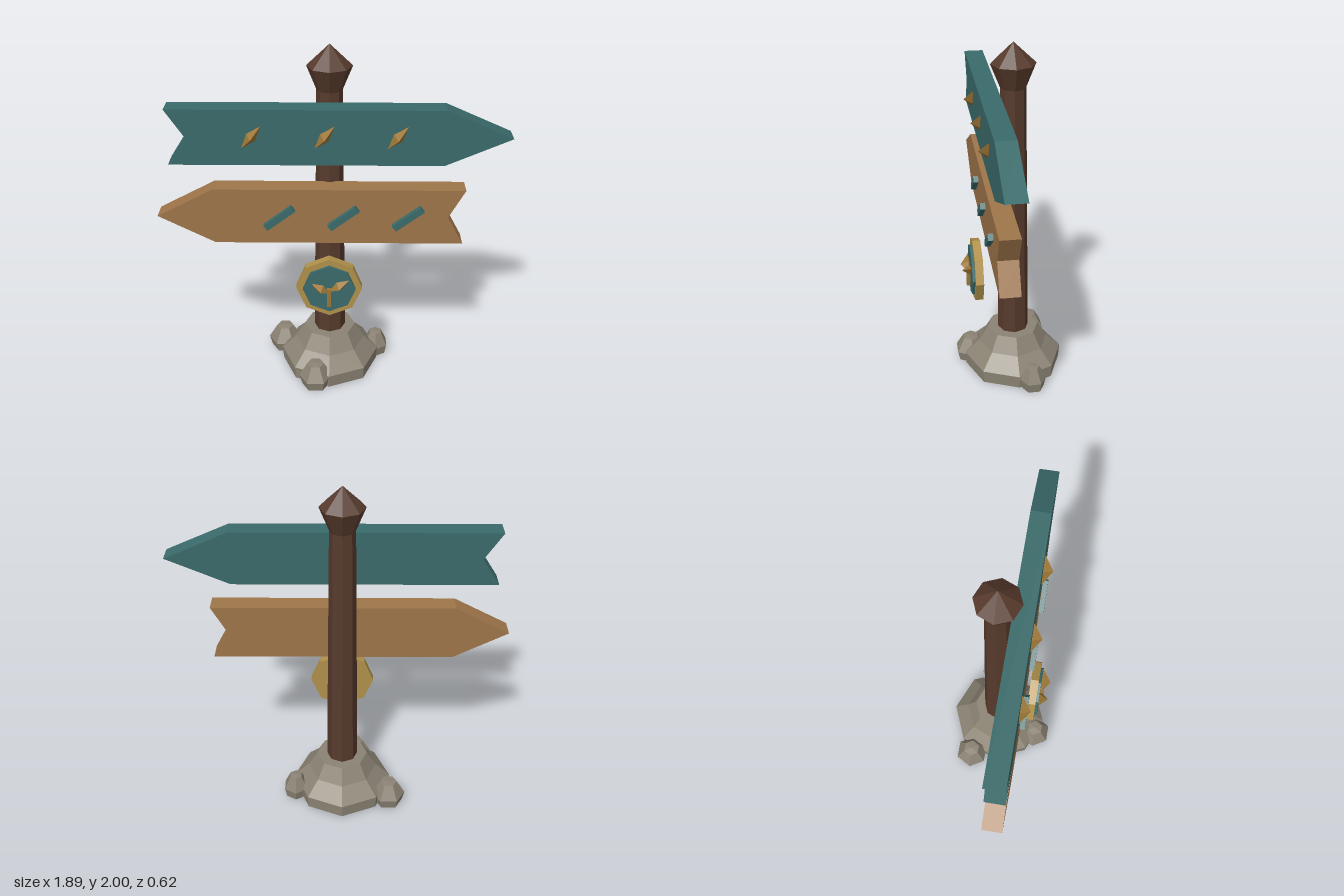
import * as THREE from 'three';

const mat = (name, color) => {
  const m = new THREE.MeshStandardMaterial({ color, flatShading: true });
  m.name = name;
  return m;
};

export function createModel() {
  const model = new THREE.Group();
  model.name = 'signpost';
  const darkWood = mat('dark wood', 0x573a2c);
  const teal = mat('teal paint', 0x3a6a6a);
  const wood = mat('light wood', 0x9e754a);
  const gold = mat('gold', 0xb0904a);
  const bronze = mat('bronze', 0x9c7636);
  const stone = mat('stone', 0x8b8374);
  const CX = -0.013, CZ = -0.022;

  const add = (name, geometry, material, x = 0, y = 0, z = 0) => {
    const mesh = new THREE.Mesh(geometry, material);
    mesh.name = name;
    mesh.position.set(x, y, z);
    model.add(mesh);
    return mesh;
  };
  // faceted turned solid from [radius, height] pairs, bottom to top
  const turned = (profile, sides) =>
    new THREE.LatheGeometry(profile.map(([r, y]) => new THREE.Vector2(r, y)), sides);
  // flat outline given thickness along z
  const plate = (points, depth) =>
    new THREE.ExtrudeGeometry(new THREE.Shape(points.map(([x, y]) => new THREE.Vector2(x, y))),
      { depth, bevelEnabled: false });
  // stretched diamond whose long axis leans by the given angle
  const diamond = (name, x, y, z, size, angle) => {
    const mesh = add(name, new THREE.OctahedronGeometry(1), bronze, x, y, z);
    mesh.scale.set(...size);
    mesh.rotation.z = angle;
  };

  // post with flared, pointed cap
  add('post', turned([[0, 0.2], [0.092, 0.2], [0.07, 1.755], [0.122, 1.885], [0, 2]], 8), darkWood, CX, 0, CZ);

  // stone mound and the pebbles around it
  add('stoneBase', turned([[0, 0], [0.285, 0], [0.29, 0.078], [0.205, 0.165], [0.15, 0.26], [0, 0.26]], 8),
    stone, CX, 0, CZ);
  const pebbles = [[-0.293, -0.157, 0.1, Math.PI / 6], [0.268, -0.1, 0.078, 0], [-0.093, 0.226, 0.098, Math.PI / 6]];
  for (const [x, z, r, turn] of pebbles) {
    const pebble = add('pebble',
      turned([[0, 0], [r * 0.85, 0], [r, 0.06], [r * 0.5, 0.145], [0, 0.15]], 6), stone, x, 0, z);
    pebble.rotation.y = turn;
  }

  // upper arrow board, pointing to +x, with diamond studs
  add('upperBoard', plate([[-0.863, 1.396], [0.594, 1.396], [0.944, 1.551], [0.594, 1.706],
    [-0.863, 1.706], [-0.763, 1.551]], 0.11), teal, 0, 0, 0.045);
  for (const x of [-0.42, -0.037, 0.345]) {
    diamond('diamondStud', x, 1.555, 0.157, [0.03, 0.082, 0.05], -0.7);
  }

  // lower arrow board, pointing to -x, with slanted bars
  add('lowerBoard', plate([[-0.949, 1.085], [-0.641, 0.922], [0.72, 0.922], [0.632, 1.085],
    [0.72, 1.248], [-0.641, 1.248]], 0.11), wood, 0, 0, 0.041);
  for (const x of [-0.285, 0.063, 0.414]) {
    add('slantedBar', new THREE.BoxGeometry(0.19, 0.037, 0.04), teal, x, 1.085, 0.16).rotation.z = 0.66;
  }

  // octagonal medallion
  const disc = (r, depth) => new THREE.CylinderGeometry(r, r, depth, 8).rotateX(Math.PI / 2);
  const MY = 0.665;
  add('medallionRim', disc(0.185, 0.046), gold, CX, MY, 0.19);
  add('medallionFace', disc(0.148, 0.03), teal, CX, MY, 0.213);

  // sprout emblem
  add('sproutStem', new THREE.BoxGeometry(0.022, 0.115, 0.03), bronze, CX, 0.618, 0.235);
  diamond('leftSproutLeaf', 0.042, 0.692, 0.235, [0.027, 0.068, 0.045], -0.98);
  diamond('rightSproutLeaf', -0.06, 0.673, 0.235, [0.027, 0.062, 0.045], 1.0);

  return model;
}
